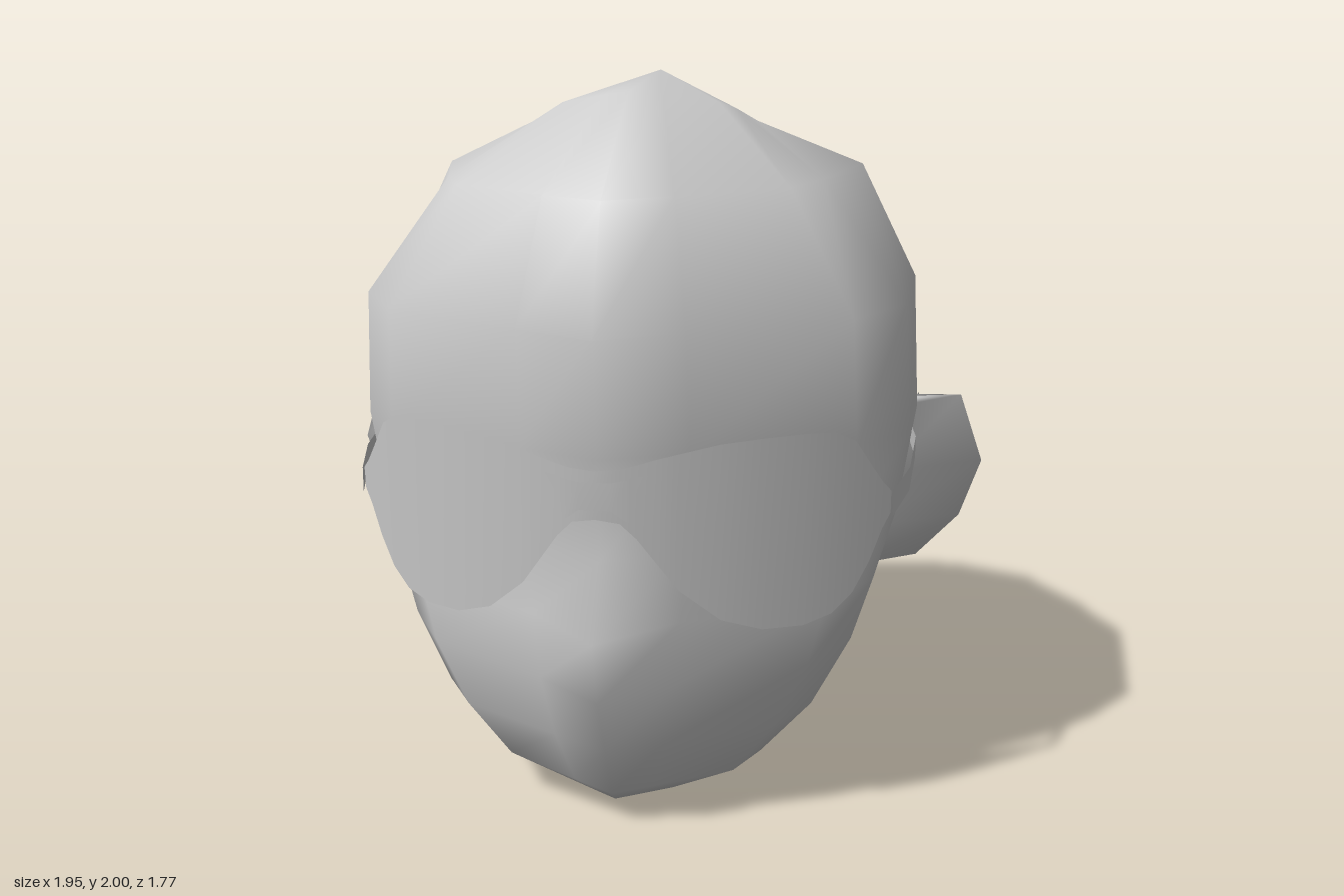
import * as THREE from 'three';
import { mergeVertices } from 'three/addons/utils/BufferGeometryUtils.js';

const { lerp } = THREE.MathUtils;
const grey = new THREE.MeshStandardMaterial({ color: 0xcccccc, side: THREE.DoubleSide });
grey.name = 'grey';

// Skins rows of [x, y, z] points into one smooth surface.
function loft(name, rows) {
  const n = rows[0].length;
  const index = [];
  for (let i = 0; i < rows.length - 1; i++) {
    for (let j = 0; j < n - 1; j++) {
      const a = i * n + j, b = a + 1, c = b + n, d = a + n;
      index.push(a, b, c, a, c, d);
    }
  }
  let geo = new THREE.BufferGeometry();
  geo.setAttribute('position', new THREE.Float32BufferAttribute(rows.flat(2), 3));
  geo.setIndex(index);
  geo = mergeVertices(geo, 1e-4);
  geo.computeVertexNormals();
  const mesh = new THREE.Mesh(geo, grey);
  mesh.name = name;
  return mesh;
}

// Completes a half ring (front to back on +x) with its mirror image.
const mirrorRing = (half) => [
  ...half,
  ...half.slice(0, -1).reverse().map(([x, y, z]) => [-x, y, z]),
];

// Flips a row of points to the side s (+1 or -1).
const onSide = (s, row) => row.map(([x, y, z]) => [s * x, y, z]);

function makeHead() {
  // Plan of every ring: share of the half width, share of the depth from front to back
  const plan = [
    [0, 0], [0.28, 0.055], [0.8, 0.16], [0.97, 0.27], [1, 0.48],
    [0.94, 0.67], [0.89, 0.75], [0.62, 0.91], [0, 1],
  ];
  // frontY, frontZ, sideY, halfWidth, backY, backZ, nose bulge, pinch of the corners
  const rings = [
    [0.04, 0.4, 0.04, 0, 0.04, 0.4, 0, 0],
    [0.05, 0.61, 0.06, 0.18, 0.06, 0.08, 0, 0],
    [0.09, 0.66, 0.19, 0.39, 0.16, -0.15, 0, 0],
    [0.25, 0.74, 0.33, 0.53, 0.29, -0.38, 0, 0],
    [0.42, 0.79, 0.53, 0.635, 0.54, -0.61, 0.04, 0],
    [0.6, 0.8, 0.68, 0.69, 0.7, -0.73, 0.09, 0],
    [0.78, 0.78, 0.85, 0.745, 0.87, -0.855, 0.01, 0],
    [1.05, 0.82, 1.05, 0.775, 1.12, -0.87, 0, 0],
    [1.35, 0.86, 1.43, 0.755, 1.4, -0.885, 0, 0],
    [1.67, 0.74, 1.74, 0.6, 1.63, -0.745, 0, 0.13],
    [1.93, 0.38, 1.85, 0.29, 1.83, -0.61, 0, 0.1],
    [2, -0.12, 2, 0, 2, -0.12, 0, 0],
  ];
  return loft('head', rings.map(([fy, fz, sy, w, by, bz, nose, pinch]) =>
    mirrorRing(plan.map(([px, t]) => [
      px * w * (1 - pinch * Math.sin(2 * Math.PI * t) ** 2),
      t < 0.5 ? lerp(fy, sy, t * 2) : lerp(sy, by, t * 2 - 1),
      lerp(fz, bz, t) + (t === 0 ? nose : 0),
    ]))));
}

// Short slanted stub under the back of the head, closed by a diamond-shaped cap
function makeNeck() {
  const group = new THREE.Group();
  group.name = 'neck';
  const rim = mirrorRing([[0, 0, 0.11], [0.22, 0.13, -0.09], [0, 0.2, -0.36]]);
  const root = mirrorRing([[0, 0.06, 0.2], [0.26, 0.2, -0.09], [0, 0.3, -0.38]]);
  group.add(loft('neckWall', [rim, root]));
  group.add(loft('neckCap', [rim.map(() => [0, 0.11, -0.11]), rim]));
  return group;
}

// Wedge-shaped ear: front face and back face meeting in an angular rim
function makeEar(s) {
  const rim = [
    [0.76, 1.05, -0.08], [0.905, 1.055, -0.14], [0.975, 0.85, -0.165],
    [0.915, 0.68, -0.155], [0.79, 0.555, -0.13], [0.62, 0.555, -0.08],
  ];
  const root = (z) => rim.map(([, y]) => [lerp(0.59, 0.76, (y - 0.555) / 0.5), y, z]);
  const rows = [root(0.02), rim, root(-0.12)].map((row) => onSide(s, row));
  return loft(s > 0 ? 'leftEar' : 'rightEar', s > 0 ? rows.reverse() : rows);
}

function makeGlasses() {
  const group = new THREE.Group();
  group.name = 'sunglasses';
  // Wraps a point around the face and leans the top slightly forward
  const wrap = (x, y, lift = 0) =>
    [x, y, 0.83 - 0.08 * Math.abs(x) - 0.5 * x * x + 0.1 * (y - 0.85) + lift];

  // Curved lens sheet: x, bottom y, top y
  const outline = [
    [0, 0.905, 1.03], [0.06, 0.895, 1.035], [0.1, 0.855, 1.045], [0.15, 0.785, 1.06],
    [0.2, 0.715, 1.072], [0.3, 0.63, 1.094], [0.4, 0.595, 1.103], [0.5, 0.593, 1.107],
    [0.57, 0.615, 1.104], [0.62, 0.665, 1.075], [0.66, 0.745, 1.005], [0.69, 0.83, 0.955],
    [0.71, 0.87, 0.93],
  ];
  const full = [...outline.slice(1).reverse().map(([x, b, t]) => [-x, b, t]), ...outline];
  group.add(loft('lenses', [0, 0.5, 1].map((k) =>
    full.map(([x, b, t]) => wrap(x, lerp(b, t, k))))));

  // Small nose bridge in front of the sheet: x, bottom y, top y
  const bridge = [
    [-0.125, 1.02, 1.022], [-0.09, 0.965, 1.015], [-0.08, 0.9, 1.01], [-0.04, 0.93, 1.002],
    [0.04, 0.93, 1.002], [0.08, 0.9, 1.01], [0.09, 0.965, 1.015], [0.13, 1.02, 1.022],
  ];
  group.add(loft('bridge', [0, 1].map((k) =>
    bridge.map(([x, b, t]) => wrap(x, lerp(b, t, k), 0.008)))));

  // Temple arms: thin bands that dip into the head, then hook down behind the ears
  const arm = [
    [0.715, 0.895, 0.53, 0.034], [0.757, 0.925, 0.38, 0.032], [0.772, 0.965, 0.18, 0.03],
    [0.755, 0.99, 0.08, 0.026], [0.77, 1.025, -0.12, 0.02], [0.785, 1.01, -0.29, 0.02],
    [0.785, 0.88, -0.43, 0.02],
  ];
  for (const s of [1, -1]) {
    const band = [-s, s].map((k) => onSide(s, arm.map(([x, y, z, h]) => [x, y + k * h, z])));
    group.add(loft(s > 0 ? 'leftArm' : 'rightArm', band));
  }
  return group;
}

export function createModel() {
  const model = new THREE.Group();
  model.name = 'headWithSunglasses';
  model.add(makeHead(), makeNeck(), makeEar(1), makeEar(-1), makeGlasses());
  return model;
}
